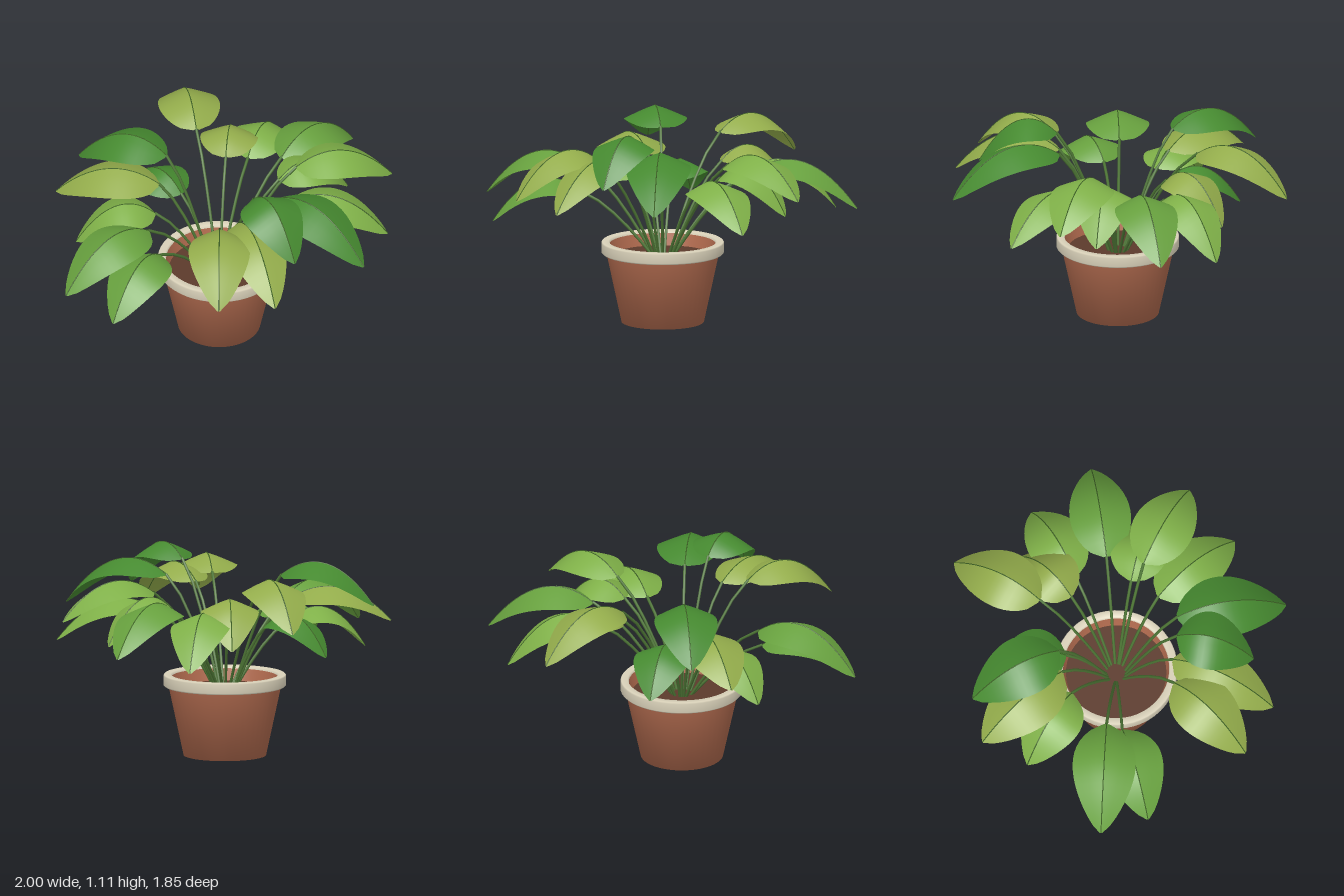
import * as THREE from 'three';

const CX = 0.007, CZ = 0.024, SOIL_Y = 0.36;
const mat = (color) => new THREE.MeshStandardMaterial({ color, side: THREE.DoubleSide });
const MATS = {
  clay: mat(0xb06a4e), cream: mat(0xd9d1b9), soil: mat(0x5c3a2b), stem: mat(0x4c7434), vein: mat(0x3f6426),
  olive: mat(0x93ac4b), light: mat(0x7fb048), mid: mat(0x67a03e), dark: mat(0x468a30),
};

// base x, y, z, tip x, y, z, width, colour
const LEAVES = [
  [0.10, 0.97, -0.42, 0.26, 0.80, -0.93, 0.33, 'olive'],
  [0.20, 0.85, -0.27, 0.42, 0.68, -0.60, 0.31, 'olive'],
  [0.34, 0.79, -0.28, 0.71, 0.59, -0.61, 0.32, 'light'],
  [0.47, 0.84, -0.14, 1.00, 0.66, -0.35, 0.33, 'mid'],
  [0.37, 0.83, 0.02, 0.78, 0.66, 0.03, 0.31, 'light'],
  [0.45, 0.92, 0.07, 0.96, 0.79, 0.20, 0.33, 'light'],
  [0.33, 0.79, 0.18, 0.785, 0.64, 0.49, 0.32, 'light'],
  [0.18, 0.96, 0.32, 0.45, 0.77, 0.855, 0.35, 'dark'],
  [0.05, 1.03, 0.35, 0.08, 0.86, 0.765, 0.33, 'dark'],
  [-0.04, 0.90, 0.35, -0.12, 0.73, 0.92, 0.32, 'olive'],
  [-0.18, 0.93, 0.39, -0.42, 0.76, 0.84, 0.33, 'olive'],
  [-0.42, 0.69, 0.16, -0.83, 0.53, 0.40, 0.32, 'mid'],
  [-0.45, 0.81, 0.08, -1.00, 0.63, 0.18, 0.34, 'mid'],
  [-0.29, 0.72, -0.15, -0.69, 0.57, -0.30, 0.32, 'light'],
  [-0.23, 0.85, -0.22, -0.68, 0.74, -0.55, 0.35, 'olive'],
  [-0.17, 1.00, -0.25, -0.49, 0.85, -0.65, 0.34, 'dark'],
  [-0.09, 0.73, -0.23, -0.20, 0.59, -0.61, 0.31, 'dark'],
];

function add(group, name, geometry, material) {
  const mesh = new THREE.Mesh(geometry, material);
  mesh.name = name;
  group.add(mesh);
  return mesh;
}

const lathe = (points) => new THREE.LatheGeometry(points.map(([r, y]) => new THREE.Vector2(r, y)), 48);

// Point on the arched midrib at t in 0..1
function midrib(base, tip, t) {
  const h = 0.075, d = base.y - tip.y;
  const a = 2 * h + 2 * Math.sqrt(h * h + h * d);
  const p = base.clone().lerp(tip, t);
  p.y = base.y + a * t - (a + d) * t * t;
  return p;
}

const outline = (t) => Math.pow(Math.sin(Math.PI * Math.pow(Math.min(Math.max(t, 0.003), 0.997), 0.79)), 0.68);

// One half of the blade, sloping down from the midrib to the edge
function halfBlade(base, tip, width, sign) {
  const rows = 16, cols = 4, pos = [], idx = [];
  const along = tip.clone().sub(base).setY(0).normalize();
  const side = new THREE.Vector3(-along.z, 0, along.x).multiplyScalar(sign);
  for (let i = 0; i <= rows; i++) {
    const t = i / rows, half = outline(t) * width / 2;
    for (let j = 0; j <= cols; j++) {
      const s = j / cols;
      const p = midrib(base, tip, t).addScaledVector(side, s * half);
      p.y -= 0.42 * half * Math.pow(s, 1.15);
      pos.push(p.x, p.y, p.z);
      if (i < rows && j < cols) {
        const a = i * (cols + 1) + j, b = a + 1, c = a + cols + 1, d = c + 1;
        if (sign > 0) idx.push(a, b, c, b, d, c);
        else idx.push(a, c, b, b, c, d);
      }
    }
  }
  const g = new THREE.BufferGeometry();
  g.setAttribute('position', new THREE.Float32BufferAttribute(pos, 3));
  g.setIndex(idx);
  g.computeVertexNormals();
  return g;
}

function makeLeaf([bx, by, bz, tx, ty, tz, width, color]) {
  const leaf = new THREE.Group();
  leaf.name = 'leaf';
  const base = new THREE.Vector3(bx, by, bz), tip = new THREE.Vector3(tx, ty, tz);
  for (const sign of [1, -1]) add(leaf, 'leafBlade', halfBlade(base, tip, width, sign), MATS[color]);

  // Thin vein along the midrib
  const ribPoints = Array.from({ length: 9 }, (_, i) => midrib(base, tip, i / 8));
  add(leaf, 'leafVein', new THREE.TubeGeometry(new THREE.CatmullRomCurve3(ribPoints), 16, 0.003, 5), MATS.vein);

  // Stem rising steeply from the soil and bending outwards to the blade
  const angle = Math.atan2(bz - CZ, bx - CX);
  const start = new THREE.Vector3(CX + 0.05 * Math.cos(angle), SOIL_Y - 0.01, CZ + 0.05 * Math.sin(angle));
  const bend = start.clone().lerp(base, 0.6);
  bend.y = THREE.MathUtils.lerp(start.y, base.y, 0.85);
  add(leaf, 'stem', new THREE.TubeGeometry(new THREE.QuadraticBezierCurve3(start, bend, base), 5, 0.008, 6), MATS.stem);
  return leaf;
}

export function createModel() {
  const model = new THREE.Group();
  model.name = 'pottedPlant';

  // Pot with tapered wall, rim and soil
  const pot = new THREE.Group();
  pot.name = 'pot';
  pot.position.set(CX, 0, CZ);
  model.add(pot);
  add(pot, 'potWall', lathe([[0, 0], [0.222, 0], [0.305, 0.385]]), MATS.clay);
  add(pot, 'potInside', lathe([[0.287, 0.43], [0.268, SOIL_Y - 0.01]]), MATS.clay);
  add(pot, 'potRim', lathe([[0.30, 0.375], [0.322, 0.375], [0.33, 0.383], [0.33, 0.432], [0.325, 0.439],
    [0.29, 0.439], [0.285, 0.425]]), MATS.cream);
  const soil = add(pot, 'soil', new THREE.CircleGeometry(0.27, 48), MATS.soil);
  soil.rotation.x = -Math.PI / 2;
  soil.position.y = SOIL_Y;

  // Foliage
  const foliage = new THREE.Group();
  foliage.name = 'foliage';
  LEAVES.forEach((leaf) => foliage.add(makeLeaf(leaf)));
  model.add(foliage);
  return model;
}
